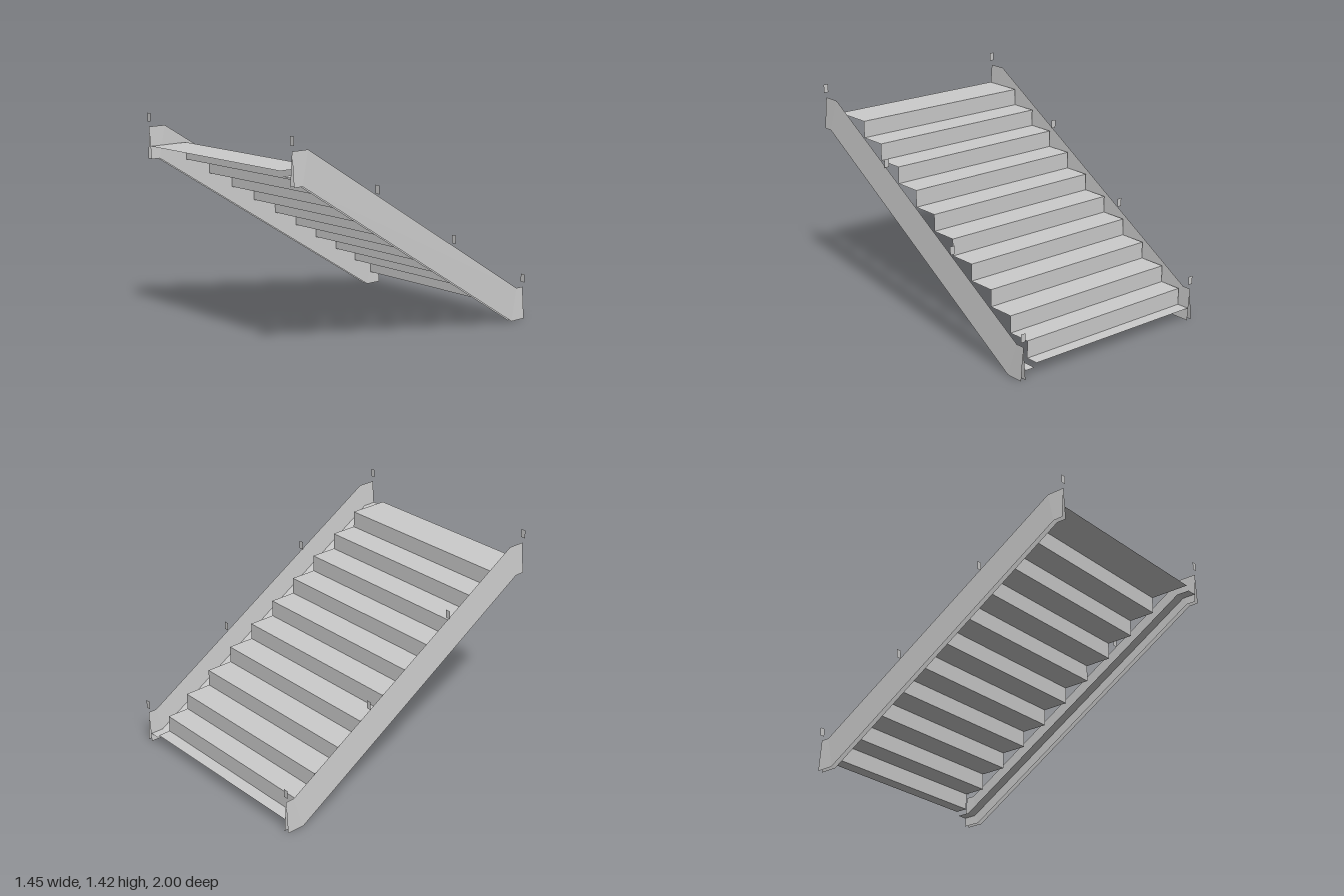
import * as THREE from 'three';

const material = new THREE.MeshStandardMaterial({
  color: 0xcccccc, flatShading: true, side: THREE.DoubleSide,
});

// Thin sheet spanning two matching polylines of [x, y, z] points
function sheet(name, a, b) {
  const positions = [];
  for (let i = 0; i < a.length - 1; i++) {
    positions.push(...a[i], ...b[i], ...b[i + 1], ...a[i], ...b[i + 1], ...a[i + 1]);
  }
  const geometry = new THREE.BufferGeometry();
  geometry.setAttribute('position', new THREE.Float32BufferAttribute(positions, 3));
  geometry.computeVertexNormals();
  const mesh = new THREE.Mesh(geometry, material);
  mesh.name = name;
  return mesh;
}

// Place a side profile of [z, y] points at a given x
const at = (x, profile) => profile.map(([z, y]) => [x, y, z]);

export function createModel() {
  const model = new THREE.Group();
  model.name = 'staircase';

  // Zigzag of treads and risers, climbing towards +z
  const rise = 0.112, steps = 10;
  const zigzag = [[-1, 0.085]];
  for (let i = 0; i < steps; i++) {
    const z = i === 0 ? -0.914 : -0.76 + (i - 1) * 0.1857;
    zigzag.push([z, 0.085 + i * rise], [z, 0.085 + (i + 1) * rise]);
  }
  zigzag.push([1, 0.085 + steps * rise]);
  model.add(sheet('steps', at(-0.695, zigzag), at(0.605, zigzag)));

  // Narrow ramp strip beside the steps
  const ramp = [[-1, 0.06], [-0.91, 0.06], [0.91, 1.175], [1, 1.175]];
  model.add(sheet('sideRamp', at(0.623, ramp), at(0.692, ramp)));

  // Side stringers: two leaning sheets that meet along the top edge
  const top = [[-1, 0.215], [-0.94, 0.215], [0.88, 1.33], [1, 1.33]];
  const bottom = [[-1, 0], [-0.88, 0], [0.935, 1.122], [1, 1.122]];
  const half = 0.017;
  for (const side of [-1, 1]) {
    const x = side * 0.71;
    const stringer = new THREE.Group();
    stringer.name = side > 0 ? 'leftStringer' : 'rightStringer';
    stringer.add(
      sheet('outerSheet', at(x, top), at(x + side * half, bottom)),
      sheet('innerSheet', at(x, top), at(x - side * half, bottom)),
    );
    model.add(stringer);

    // Small upright plates floating above the stringer
    [[1, 1.363], [1 / 3, 1.005], [-1 / 3, 0.605], [-1, 0.247]].forEach(([z, y]) => {
      const plate = new THREE.Mesh(new THREE.PlaneGeometry(half * 2, 0.055), material);
      plate.position.set(x, y + 0.0275, z);
      plate.name = 'railPlate';
      model.add(plate);
    });
  }
  return model;
}
